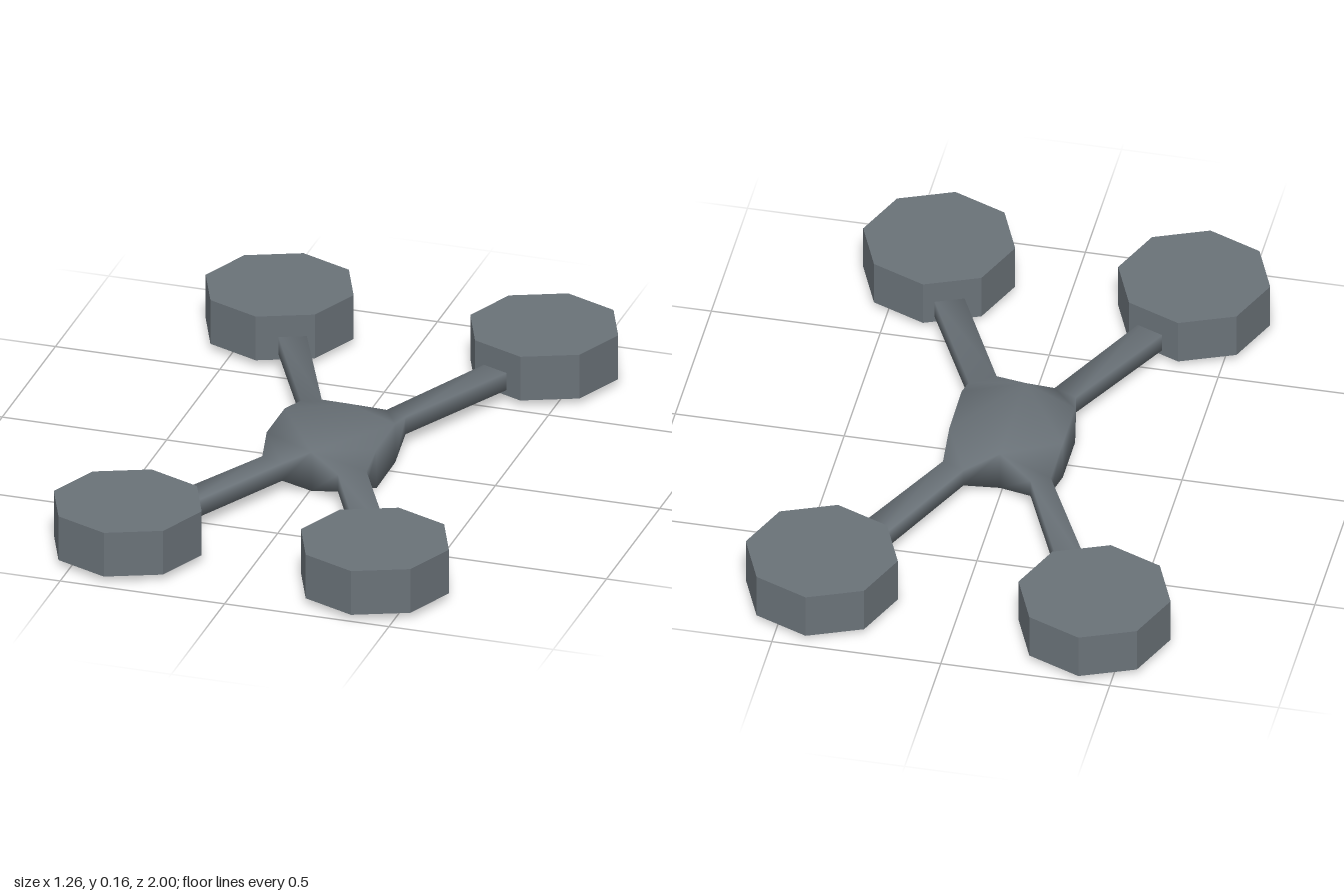
import * as THREE from 'three';

const material = new THREE.MeshStandardMaterial({ color: 0x6a7278 });

// Arms: root and tip corners [x, z], listed anticlockwise as seen from above
const arms = {
  frontLeft: { root: [[0.103, 0.253], [0.175, 0.207]], tip: [[0.265, 0.583], [0.345, 0.547]], rotor: [0.384, 0.773] },
  backLeft: { root: [[0.17, -0.175], [0.103, -0.205]], tip: [[0.353, -0.542], [0.274, -0.575]], rotor: [0.405, -0.753] },
  backRight: { root: [[-0.097, -0.213], [-0.152, -0.188]], tip: [[-0.27, -0.607], [-0.346, -0.575]], rotor: [-0.407, -0.775] },
  frontRight: { root: [[-0.143, 0.203], [-0.073, 0.233]], tip: [[-0.327, 0.548], [-0.247, 0.58]], rotor: [-0.376, 0.748] },
};

// Hull and arms as one smooth skin: an outline of columns, each with a bottom and a top
function createFrame() {
  const positions = [], indices = [], deck = [];
  let count = 0;
  const column = ([x, z], low, high) => {
    positions.push(x, low, z, x, high, z);
    return count++;
  };
  const hullColumn = (p) => {
    const c = column(p, 0, 0.124);
    deck.push(c);
    return c;
  };
  // Fills a convex run of columns on the top and on the underside
  const cover = (cols) => {
    for (let i = 1; i < cols.length - 1; i++) {
      const [a, b, c] = [cols[0], cols[i], cols[i + 1]].map((k) => k * 2);
      indices.push(a + 1, b + 1, c + 1, a, c, b);
    }
  };
  const armColumns = ({ root, tip }) => {
    // Tips run a little way into the rotor housings
    const ends = tip.map((t, i) => t.map((v, k) => v + (v - root[i][k]) * 0.12));
    const cols = [root[0], ends[0], ends[1], root[1]].map((p) => column(p, 0.037, 0.092));
    cover(cols);
    return cols;
  };

  const front = hullColumn([0.005, 0.198]);
  const fl = armColumns(arms.frontLeft);
  const sideLF = hullColumn([0.178, 0.12]);
  const sideLB = hullColumn([0.176, -0.06]);
  const bl = armColumns(arms.backLeft);
  const back = hullColumn([0.007, -0.147]);
  const br = armColumns(arms.backRight);
  const sideRB = hullColumn([-0.16, -0.06]);
  const sideRF = hullColumn([-0.16, 0.11]);
  const fr = armColumns(arms.frontRight);

  // Flat deck and the shoulders sloping down to each arm
  cover(deck);
  cover([front, fl[0], fl[3], sideLF]);
  cover([sideLB, bl[0], bl[3], back]);
  cover([back, br[0], br[3], sideRB]);
  cover([sideRF, fr[0], fr[3], front]);

  // Walls all round the outline
  for (let i = 0; i < count; i++) {
    const a = i * 2, b = ((i + 1) % count) * 2;
    indices.push(a, b, b + 1, a, b + 1, a + 1);
  }

  const geometry = new THREE.BufferGeometry();
  geometry.setAttribute('position', new THREE.Float32BufferAttribute(positions, 3));
  geometry.setIndex(indices);
  geometry.computeVertexNormals();
  const mesh = new THREE.Mesh(geometry, material);
  mesh.name = 'hullAndArms';
  return mesh;
}

export function createModel() {
  const model = new THREE.Group();
  model.name = 'quadcopter';
  model.add(createFrame());

  // Octagonal rotor housings
  const rotorMaterial = material.clone();
  rotorMaterial.flatShading = true;
  const rotorGeometry = new THREE.CylinderGeometry(0.225, 0.225, 0.14, 8);
  for (const [corner, { rotor: [x, z] }] of Object.entries(arms)) {
    const rotor = new THREE.Mesh(rotorGeometry, rotorMaterial);
    rotor.name = corner + 'Rotor';
    rotor.position.set(x, 0.09, z);
    model.add(rotor);
  }
  return model;
}
